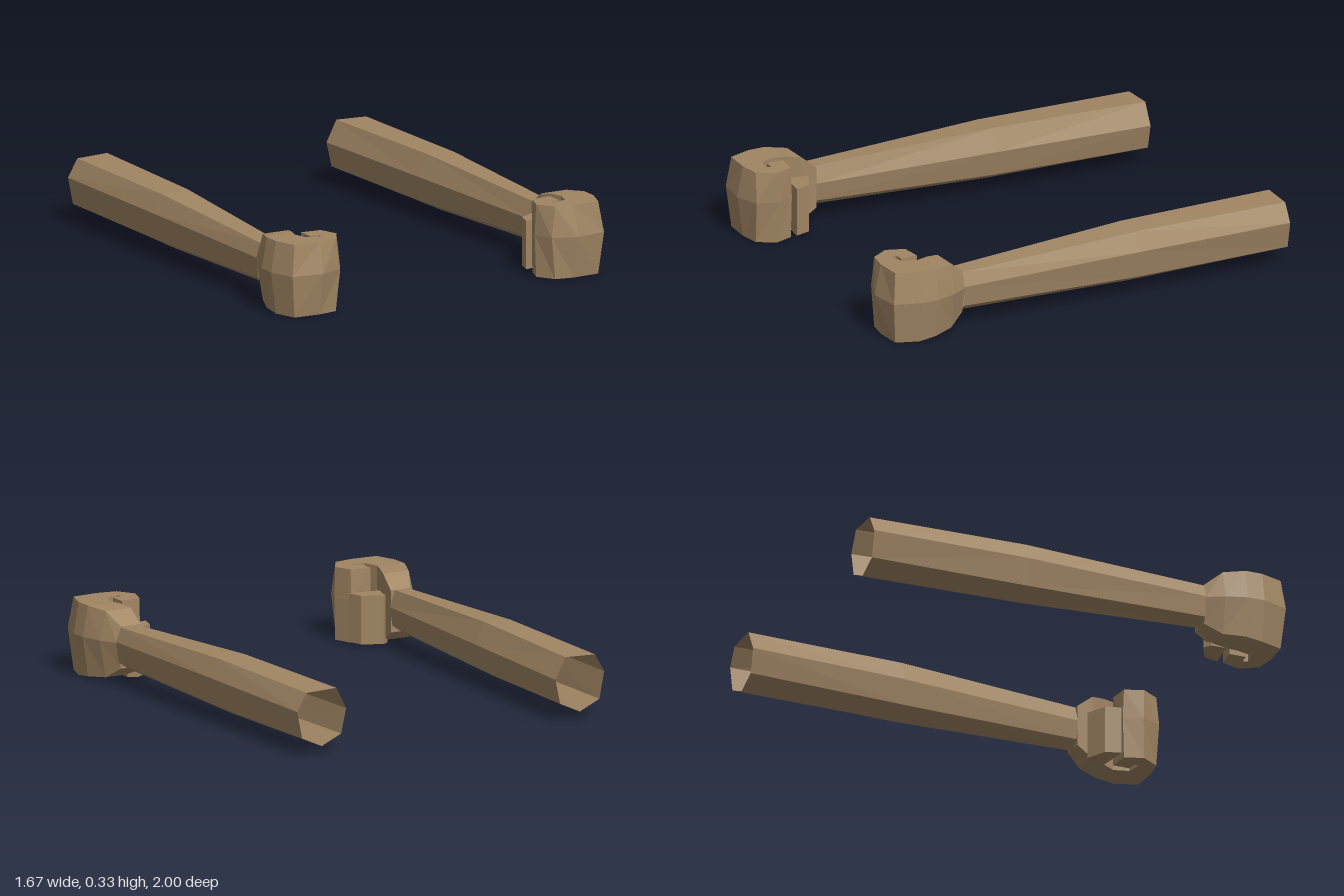
import * as THREE from 'three';

const material = new THREE.MeshStandardMaterial({
  color: 0xa08563, flatShading: true, side: THREE.DoubleSide,
});

// Skins a list of closed rings; side = -1 mirrors the result in x.
function loft(name, rings, side, capStart, capEnd) {
  const n = rings[0].length;
  const pos = [];
  const tri = (a, b, c) => {
    for (const p of side > 0 ? [a, b, c] : [a, c, b]) pos.push(p[0] * side, p[1], p[2]);
  };
  for (let i = 0; i < rings.length - 1; i++) {
    for (let j = 0; j < n; j++) {
      const k = (j + 1) % n;
      tri(rings[i][j], rings[i][k], rings[i + 1][k]);
      tri(rings[i][j], rings[i + 1][k], rings[i + 1][j]);
    }
  }
  const first = rings[0], last = rings[rings.length - 1];
  for (let j = 1; j < n - 1; j++) {
    if (capStart) tri(first[0], first[j + 1], first[j]);
    if (capEnd) tri(last[0], last[j], last[j + 1]);
  }
  const geometry = new THREE.BufferGeometry();
  geometry.setAttribute('position', new THREE.Float32BufferAttribute(pos, 3));
  geometry.computeVertexNormals();
  const mesh = new THREE.Mesh(geometry, material);
  mesh.name = name;
  return mesh;
}

// Seven-sided tapering sleeve, open at the shoulder end.
function buildArm(side) {
  // z, inner x, outer x, bottom y, top y
  const stations = [
    [-1, 0.535, 0.785, 0.035, 0.29],
    [-0.25, 0.57, 0.787, 0.035, 0.295],
    [0.61, 0.635, 0.765, 0.065, 0.26],
  ];
  // Fractions across the width and height of each station
  const section = [[0.5, 0], [0.9, 0.18], [1, 0.66], [0.81, 0.98], [0.2, 1], [0, 0.62], [0.1, 0.18]];
  const rings = stations.map(([z, x0, x1, y0, y1]) =>
    section.map(([u, v]) => [x0 + (x1 - x0) * u, y0 + (y1 - y0) * v, z]));
  return loft('arm', rings, side, false, false);
}

// Wrist, palm and curled fingers as one hook-shaped sweep.
function buildHand(side) {
  // outer bulge x,z | outer rim x,z | inner x,z | bottom, top
  const stations = [
    [0.765, 0.61, 0.74, 0.61, 0.64, 0.61, 0.07, 0.26],
    [0.805, 0.685, 0.775, 0.685, 0.645, 0.685, 0.02, 0.32],
    [0.835, 0.78, 0.81, 0.78, 0.665, 0.75, 0.01, 0.33],
    [0.835, 0.86, 0.81, 0.86, 0.68, 0.8, 0, 0.33],
    [0.795, 0.98, 0.775, 0.963, 0.66, 0.87, 0, 0.33],
    [0.65, 1, 0.65, 0.97, 0.625, 0.878, 0, 0.33],
    [0.54, 0.96, 0.56, 0.955, 0.595, 0.885, 0, 0.33],
    [0.505, 0.87, 0.51, 0.875, 0.59, 0.865, 0, 0.33],
    [0.54, 0.785, 0.54, 0.79, 0.605, 0.86, 0, 0.33],
    [0.635, 0.78, 0.635, 0.78, 0.635, 0.86, 0, 0.33],
  ];
  const rings = stations.map(([mx, mz, ex, ez, ix, iz, y0, y1]) => [
    [ex, y0, ez], [mx, 0.19, mz], [ex, y1, ez],
    [ix, y1, iz], [ix, 0.19, iz], [ix, y0, iz],
  ]);
  return loft('hand', rings, side, true, true);
}

// Short upright thumb block beside the grip opening.
function buildThumb(side) {
  const outline = [[0.665, 0.75], [0.665, 0.68], [0.63, 0.655], [0.54, 0.7], [0.52, 0.77], [0.615, 0.752]];
  const rings = [0.01, 0.23].map((y) => outline.map(([x, z]) => [x, y, z]));
  return loft('thumb', rings, side, true, true);
}

export function createModel() {
  const model = new THREE.Group();
  model.name = 'armPair';
  for (const side of [1, -1]) {
    const limb = new THREE.Group();
    limb.name = side > 0 ? 'leftArm' : 'rightArm';
    limb.add(buildArm(side), buildHand(side), buildThumb(side));
    model.add(limb);
  }
  return model;
}
